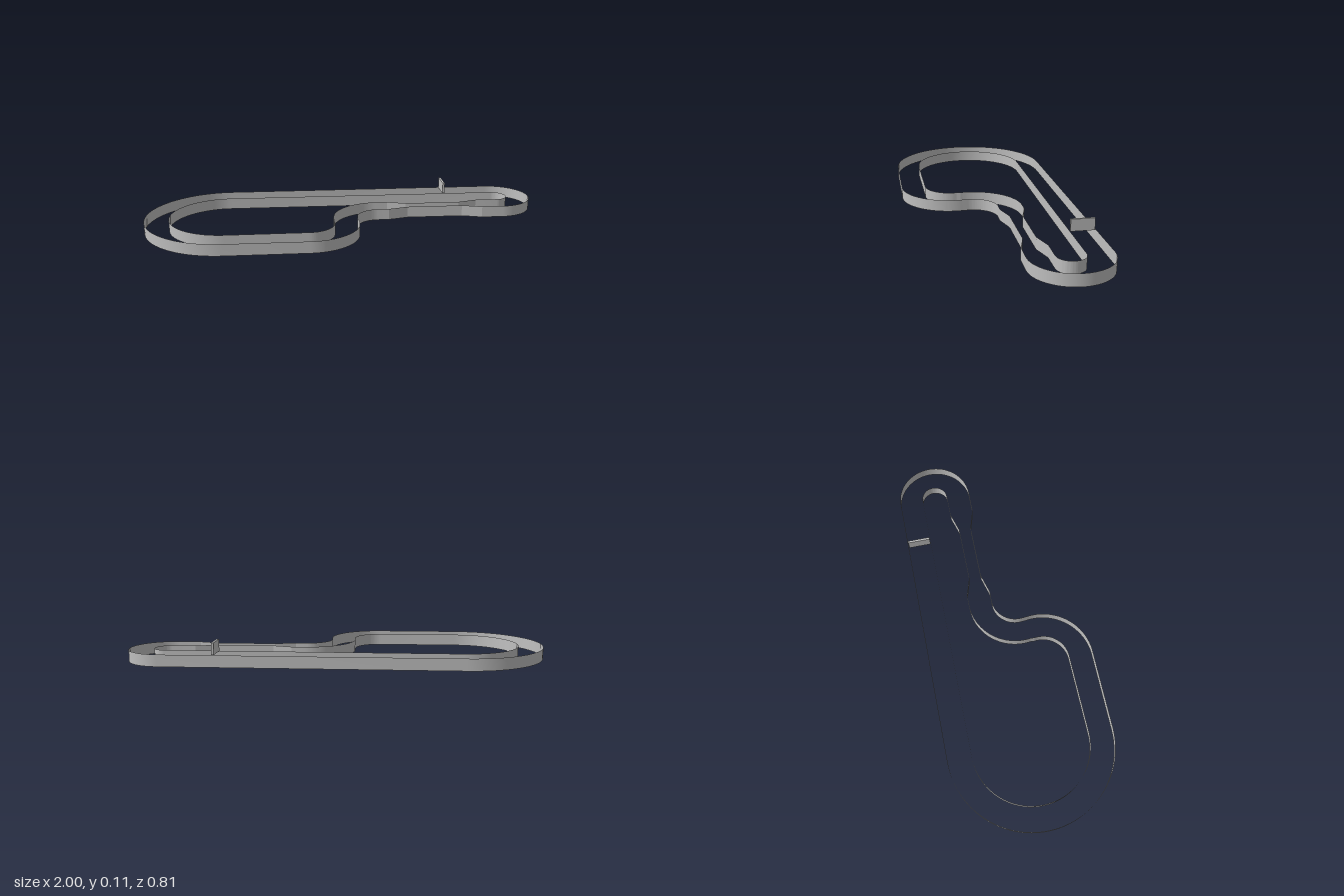
import * as THREE from 'three';
import { toCreasedNormals } from 'three/addons/utils/BufferGeometryUtils.js';

const WALL_HEIGHT = 0.057;
const rad = THREE.MathUtils.degToRad;

// Closed plan outline of one wall (path y is the model's z).
// The radii set which edge of the lane it follows; bend 1 curves the other way.
function outline({ left, right, bend1, bend2, chicane }) {
  const path = new THREE.Path();
  const arc = (x, z, r, from, to) => path.absarc(x, z, r, rad(from), rad(to), to < from);
  path.moveTo(-0.595, -left);
  arc(0.814, -0.22, right, -90, 90);
  chicane.forEach(([x, z]) => path.lineTo(x, z));
  arc(0.165, 0.083, bend1, -90, -188);
  arc(-0.2, 0.154, bend2, -8, 90);
  arc(-0.595, 0, left, 90, 270);
  path.closePath();
  return path.getPoints(24);
}

// Upright ribbon along a closed outline
function ribbon(points, height) {
  const pos = [];
  points.forEach((a, i) => {
    const b = points[(i + 1) % points.length];
    if (a.distanceTo(b) < 1e-5) return;
    pos.push(a.x, 0, a.y, a.x, height, a.y, b.x, height, b.y);
    pos.push(a.x, 0, a.y, b.x, height, b.y, b.x, 0, b.y);
  });
  const geo = new THREE.BufferGeometry();
  geo.setAttribute('position', new THREE.Float32BufferAttribute(pos, 3));
  return toCreasedNormals(geo, 0.2);
}

export function createModel() {
  const group = new THREE.Group();
  const grey = new THREE.MeshStandardMaterial({ color: 0xc0c0c0, side: THREE.DoubleSide });
  grey.name = 'light grey';

  const add = (name, geometry) => {
    const mesh = new THREE.Mesh(geometry, grey);
    mesh.name = name;
    group.add(mesh);
    return mesh;
  };

  // Two walls bounding the lane
  add('outerWall', ribbon(outline({
    left: 0.405, right: 0.186, bend1: 0.12, bend2: 0.25,
    chicane: [[0.705, -0.035], [0.605, -0.064], [0.32, -0.064], [0.22, -0.036]],
  }), WALL_HEIGHT));
  add('innerWall', ribbon(outline({
    left: 0.287, right: 0.066, bend1: 0.237, bend2: 0.13,
    chicane: [[0.70, -0.154], [0.602, -0.125], [0.32, -0.125], [0.225, -0.154]],
  }), WALL_HEIGHT));

  // Start gate spanning the back straight, above the walls
  add('startGate', new THREE.BoxGeometry(0.011, 0.057, 0.112))
    .position.set(0.555, 0.0855, -0.344);

  return group;
}
